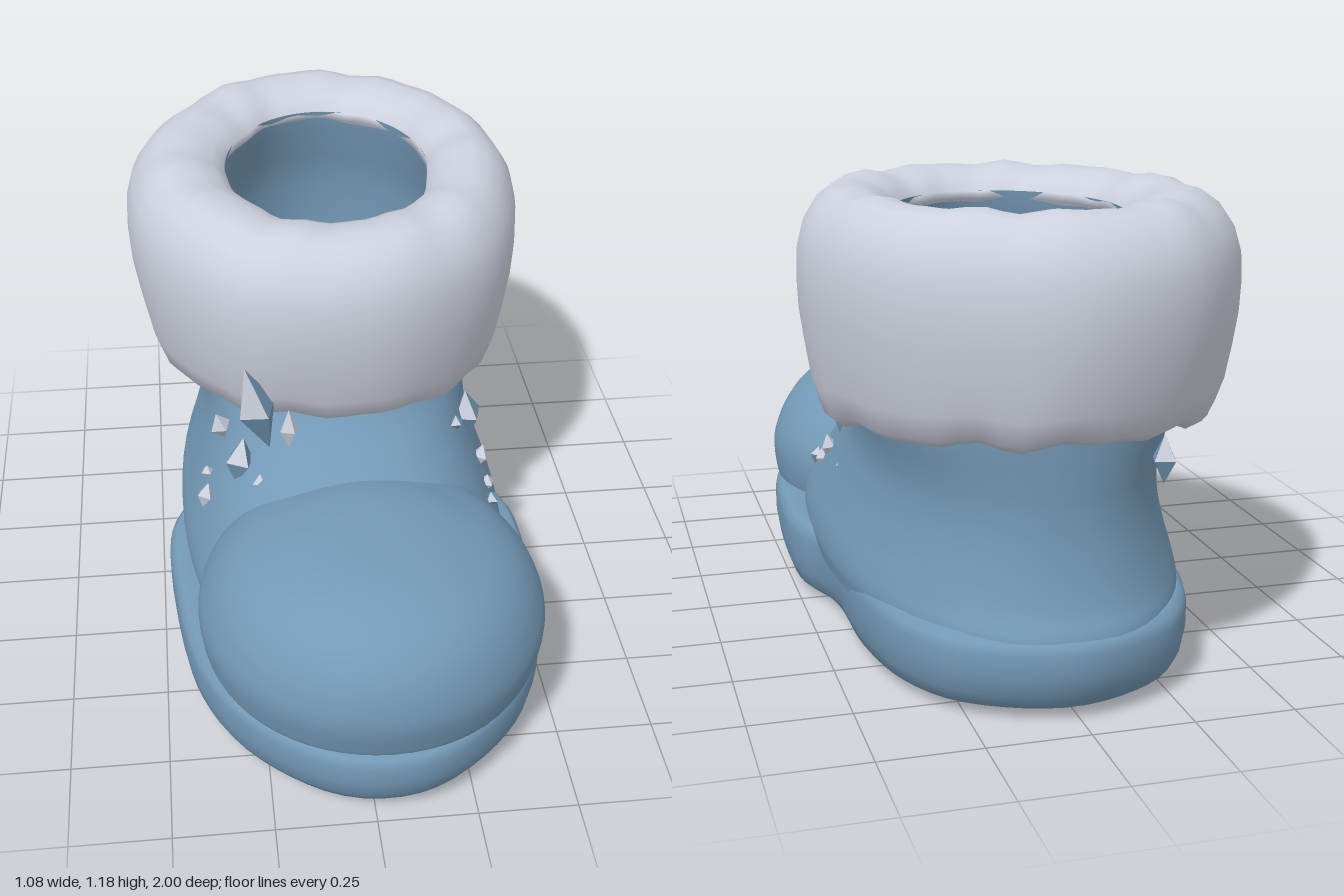
import * as THREE from 'three';

const SEG = 64;
const blue = new THREE.MeshStandardMaterial({ color: 0x7499b6 });
blue.name = 'boot blue';
const fur = new THREE.MeshStandardMaterial({ color: 0xcdd1de });
fur.name = 'fur grey';

// Skins a stack of closed rings of points; rings that run upward face outward.
function loft(rings) {
  const n = rings[0].length, pos = [], idx = [];
  rings.forEach((r) => r.forEach((p) => pos.push(p.x, p.y, p.z)));
  for (let i = 0; i < rings.length - 1; i++) {
    for (let j = 0; j < n; j++) {
      const k = (j + 1) % n, a = i * n + j, b = i * n + k;
      idx.push(a, a + n, b, b, a + n, b + n);
    }
  }
  const g = new THREE.BufferGeometry();
  g.setAttribute('position', new THREE.Float32BufferAttribute(pos, 3));
  g.setIndex(idx);
  g.computeVertexNormals();
  return g;
}

// Horizontal oval given its height, front and back z, half width and centre x; power below 1 squares it.
function oval(y, zf, zb, hw, cx, power = 1) {
  const ring = [], bend = (v) => Math.sign(v) * Math.abs(v) ** power;
  for (let j = 0; j < SEG; j++) {
    const t = (j / SEG) * Math.PI * 2;
    ring.push(new THREE.Vector3(cx + hw * bend(Math.cos(t)), y, (zf + zb) / 2 + ((zf - zb) / 2) * bend(Math.sin(t))));
  }
  return ring;
}

// Smoothly interpolates rows of [y, zFront, zBack, halfWidth] into ovals.
function ovalLoft(rows, cx, steps, power) {
  const spans = new THREE.CatmullRomCurve3(rows.map((r) => new THREE.Vector3(r[0], r[1], r[2])), false, 'centripetal');
  const widths = new THREE.SplineCurve(rows.map((r) => new THREE.Vector2(r[0], r[3])));
  const rings = [];
  for (let i = 0; i <= steps; i++) {
    const p = spans.getPoint(i / steps);
    rings.push(oval(p.x, p.y, p.z, widths.getPoint(i / steps).y, cx, power));
  }
  return loft(rings);
}

function add(parent, name, geometry, material) {
  const m = new THREE.Mesh(geometry, material);
  m.name = name;
  parent.add(m);
  return m;
}

// Sole: foot outline swept through a rounded edge profile
function soleGeometry() {
  const half = [[0.25, -0.86], [0.36, -0.7], [0.415, -0.45], [0.425, -0.17], [0.45, -0.05], [0.488, 0.05],
    [0.488, 0.3], [0.445, 0.6], [0.345, 0.8], [0.15, 0.965]];
  const left = half.map(([x, z]) => new THREE.Vector3(x, 0, z));
  const right = half.map(([x, z]) => new THREE.Vector3(-x, 0, z)).reverse();
  const loop = [...left, new THREE.Vector3(0, 0, 1), ...right, new THREE.Vector3(0, 0, -0.955)];
  const outline = new THREE.CatmullRomCurve3(loop, true, 'centripetal').getSpacedPoints(96).slice(0, 96);
  const profile = [[0, 0], [0.005, 0.85], [0.008, 0.9], [0.03, 0.955], [0.07, 0.985], [0.12, 1], [0.17, 1],
    [0.195, 0.99], [0.207, 0.96], [0.21, 0.9], [0.21, 0]];
  return loft(profile.map(([y, s]) => outline.map((p) =>
    new THREE.Vector3(0.015 + p.x * s + 0.02 * Math.max(p.z, 0), y, 0.022 + (p.z - 0.022) * s))));
}

// Fur cuff: a thick ring between the opening and the outer edge, with soft lumps
function cuffGeometry() {
  const profile = [[0.36, 0.72], [0.5, 0.655], [0.66, 0.62], [0.8, 0.645], [0.88, 0.71], [0.94, 0.8], [0.985, 0.88],
    [1, 0.95], [0.99, 1.02], [0.93, 1.08], [0.81, 1.13], [0.66, 1.16], [0.5, 1.17], [0.3, 1.162], [0.13, 1.14],
    [0.02, 1.11], [0.01, 1.09], [0.15, 1.05], [0.36, 0.9], [0.36, 0.72]];
  return loft(profile.map(([s, y]) => {
    const ring = [], low = Math.max(0, (0.85 - y) / 0.22), high = Math.max(0, (y - 1.05) / 0.12);
    for (let j = 0; j < SEG; j++) {
      const t = (j / SEG) * Math.PI * 2;
      const lump = 0.004 * Math.sin(5 * t + 1 + 3 * y) + 0.003 * Math.sin(9 * t + 2);
      const rip = 0.007 * Math.sin(11 * t) + 0.006 * Math.sin(17 * t + 1);
      const rx = THREE.MathUtils.lerp(0.275, 0.541, s) + lump;
      const rz = THREE.MathUtils.lerp(0.355, 0.645, s) + lump;
      ring.push(new THREE.Vector3(0.015 * (1 - s) + rx * Math.cos(t),
        y + low * (0.03 * Math.sin(t) ** 2 + rip) + high * rip * 0.6,
        -0.355 + rz * Math.sin(t)));
    }
    return ring;
  }));
}

// Crystal: stretched octahedron, either plain grey or blue with some grey upper facets
function crystal(parent, [x, y, z, w, h, tilt, twoTone]) {
  const g = new THREE.OctahedronGeometry(1, 0);
  g.clearGroups();
  for (let i = 0; i < 8; i++) g.addGroup(i * 3, 3, twoTone && i % 4 !== 3 ? 1 : 0);
  g.scale(w / 2, h / 2, w / 2);
  const m = add(parent, 'crystal', g, [fur, blue]);
  m.position.set(x, y, z);
  m.rotation.set(0, 0.5, tilt);
}

export function createModel() {
  const boot = new THREE.Group();
  boot.name = 'boot';

  add(boot, 'sole', soleGeometry(), blue);

  // Ankle and instep, flaring into the heel and ending inside the fur
  add(boot, 'upper', ovalLoft([
    [0.15, 0.8, -0.94, 0.44], [0.2, 0.8, -0.935, 0.45], [0.25, 0.78, -0.908, 0.445], [0.31, 0.73, -0.887, 0.425],
    [0.4, 0.6, -0.868, 0.393], [0.48, 0.45, -0.862, 0.372], [0.55, 0.32, -0.864, 0.37], [0.65, 0.2, -0.868, 0.385],
    [0.82, 0.12, -0.87, 0.39],
  ], 0.015, 36, 0.9), blue);

  // Domed toe cap, tucked into the sole
  add(boot, 'toeCap', ovalLoft([
    [0.12, 0.9, 0.06, 0.39], [0.19, 0.97, 0.04, 0.43], [0.23, 0.985, 0.03, 0.442], [0.3, 1.0, 0.03, 0.446],
    [0.36, 0.995, 0.05, 0.428], [0.42, 0.975, 0.1, 0.393], [0.47, 0.94, 0.17, 0.345], [0.51, 0.89, 0.26, 0.275],
    [0.54, 0.82, 0.34, 0.19], [0.555, 0.74, 0.42, 0.1], [0.56, 0.58, 0.58, 0],
  ], 0.04, 50), blue);

  add(boot, 'furCuff', cuffGeometry(), fur);

  // Lining that widens below the opening, and insole
  const lining = [[1.11, 0.36, 0.28], [1.05, 0.368, 0.288], [0.95, 0.4, 0.315], [0.85, 0.425, 0.335], [0.65, 0.43, 0.34],
    [0.45, 0.39, 0.34], [0.3, 0.37, 0.32], [0.24, 0.33, 0.28], [0.225, 0.3, 0.25], [0.225, 0, 0]];
  add(boot, 'lining', loft(lining.map(([y, rz, rx]) => oval(y, -0.355 + rz, -0.355 - rz, rx, 0.015))), blue);

  // Crystals: x, y, z, width, height, tilt, two-tone
  const crystals = new THREE.Group();
  crystals.name = 'crystals';
  boot.add(crystals);
  [
    [-0.225, 0.705, 0.22, 0.11, 0.28, 0.25, true],
    [-0.145, 0.65, 0.24, 0.055, 0.12, 0, false],
    [-0.32, 0.59, 0.12, 0.06, 0.09, 0.3, false],
    [-0.275, 0.53, 0.2, 0.085, 0.14, -0.2, true],
    [-0.362, 0.45, 0.13, 0.035, 0.04, 0, false],
    [-0.37, 0.4, 0.17, 0.05, 0.075, -0.3, false],
    [-0.225, 0.5, 0.26, 0.045, 0.05, 0, false],
    [0.365, 0.525, 0.035, 0.085, 0.16, 0.15, true],
    [0.32, 0.555, 0.12, 0.04, 0.05, 0.2, true],
    [0.4, 0.41, 0.08, 0.05, 0.07, -0.2, false],
    [0.41, 0.36, 0.14, 0.045, 0.055, 0, false],
    [0.415, 0.35, 0.2, 0.045, 0.05, 0.3, true],
    [0.4, 0.4, -0.08, 0.025, 0.025, 0, true],
    [-0.24, 0.57, -0.79, 0.07, 0.12, 0, true],
  ].forEach((c) => crystal(crystals, c));

  return boot;
}
